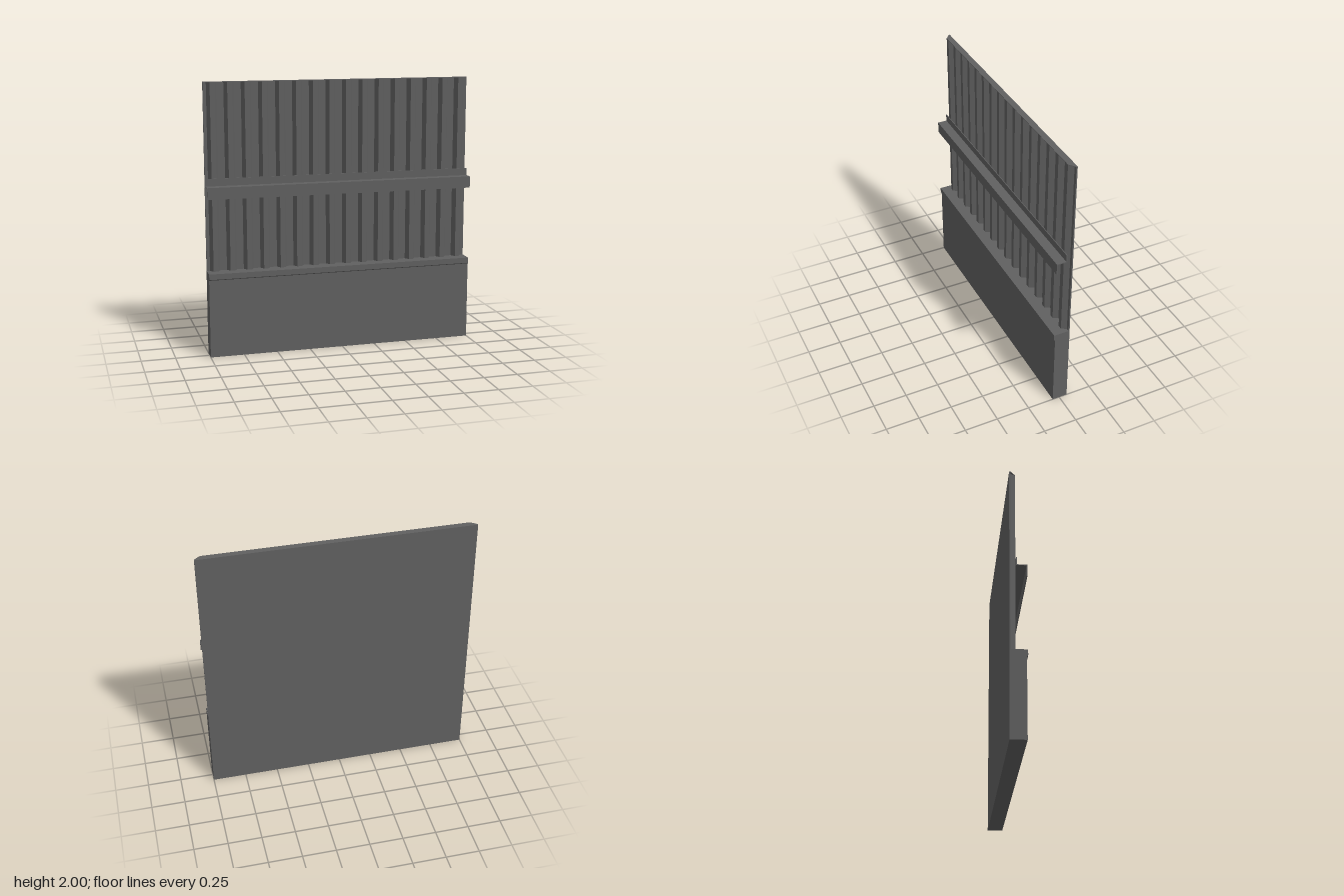
import * as THREE from 'three';

const WIDTH = 2;
const BACK = -0.061;
const VALLEY = -0.052;
const RIDGE = -0.016;

const shapeOf = (points) => new THREE.Shape(points.map(([a, b]) => new THREE.Vector2(a, b)));

export function createModel() {
  const group = new THREE.Group();
  const grey = new THREE.MeshStandardMaterial({ color: 0x606060 });

  const add = (name, geometry) => {
    const mesh = new THREE.Mesh(geometry, grey);
    mesh.name = name;
    group.add(mesh);
  };

  // plan outline given as [x, z], raised from y0 to y1
  const raise = (name, plan, y0, y1) => {
    const g = new THREE.ExtrudeGeometry(shapeOf(plan.map(([x, z]) => [x, -z])), { depth: y1 - y0, bevelEnabled: false });
    add(name, g.rotateX(-Math.PI / 2).translate(0, y0, 0));
  };

  // side section given as [z, y], run across the full width
  const run = (name, section) => {
    const g = new THREE.ExtrudeGeometry(shapeOf(section.map(([z, y]) => [-z, y])), { depth: WIDTH, bevelEnabled: false });
    add(name, g.rotateY(Math.PI / 2).translate(-WIDTH / 2, 0, 0));
  };

  // low base wall
  run('baseWall', [[BACK, 0], [0.053, 0], [0.053, 0.58], [BACK, 0.58]]);

  // sill with a small chamfer under its front edge
  run('sill', [[BACK, 0.578], [0.056, 0.578], [0.061, 0.584], [0.061, 0.625], [BACK, 0.625]]);

  // corrugated sheet with sixteen ridges
  const ridges = 16;
  const pitch = WIDTH / ridges;
  const plan = [[-1, BACK], [-1, VALLEY]];
  for (let i = 0; i < ridges; i++) {
    const x = -1 + (i + 0.5) * pitch;
    plan.push([x - 0.038, VALLEY], [x - 0.017, RIDGE], [x + 0.017, RIDGE], [x + 0.038, VALLEY]);
  }
  plan.push([1, VALLEY], [1, BACK]);
  raise('corrugatedSheet', plan, 0.625, 1.997);

  // thin cap closing the corrugations at the top
  raise('topCap', [[-1, BACK], [-1, VALLEY], [-0.955, RIDGE], [0.955, RIDGE], [1, VALLEY], [1, BACK]], 1.997, 2);

  // folded Z-section rail
  run('rail', [
    [RIDGE, 1.25], [0.055, 1.25], [0.055, 1.17], [0.061, 1.17],
    [0.061, 1.256], [-0.01, 1.256], [-0.01, 1.31], [RIDGE, 1.31],
  ]);

  return group;
}
